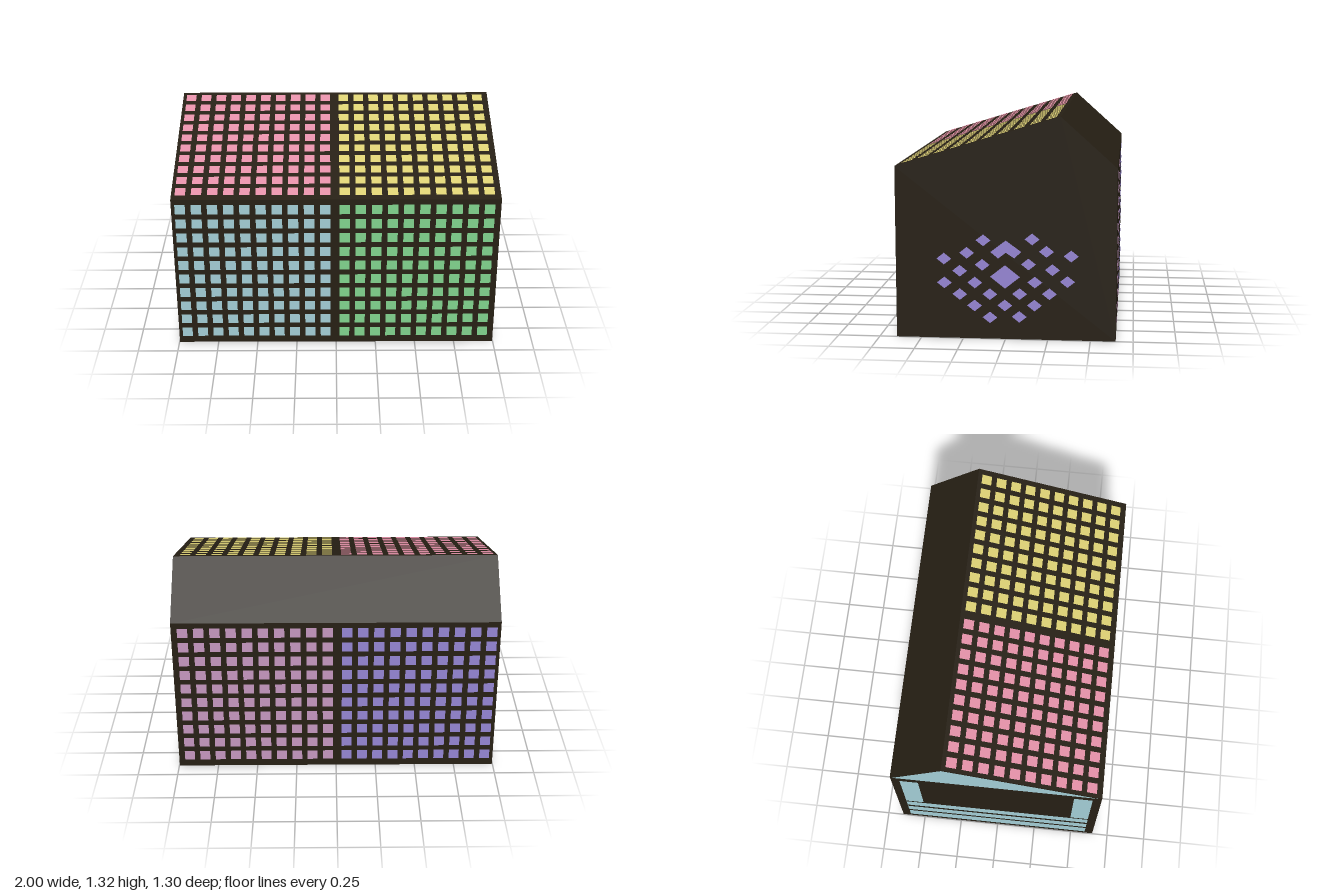
import * as THREE from 'three';
import { mergeGeometries } from 'three/addons/utils/BufferGeometryUtils.js';

const W = 1, D = 0.648, EAVE = 1.02, RIDGE = 1.315, RIDGE_Z = -0.32, LIFT = 0.003;
const mat = (color) => new THREE.MeshStandardMaterial({ color });
const DARK = mat(0x261f14), BLUE = mat(0xa2ccd4), GREEN = mat(0x80d28c), PINK = mat(0xe490a8),
  YELLOW = mat(0xdcd074), MAUVE = mat(0xc496be), PURPLE = mat(0x9484d2);

const mesh = (name, geometry, material) => {
  const m = new THREE.Mesh(geometry, material);
  m.name = name;
  return m;
};

const polygon = (points) => new THREE.Shape(points.map(([x, y]) => new THREE.Vector2(x, y)));
const rect = (x0, x1, y0, y1) => polygon([[x0, y0], [x1, y0], [x1, y1], [x0, y1]]);
const diamond = (x, y, w, h) => polygon([[x - w, y], [x, y - h], [x + w, y], [x, y + h]]);

// Ten by ten square panes, centred on (cx, cy)
function paneGrid(name, cx, cy, material, pitchX = 0.0974, pitchY = 0.0972) {
  const panes = [];
  for (let i = 0; i < 10; i++) {
    for (let j = 0; j < 10; j++) {
      panes.push(new THREE.PlaneGeometry(0.063, 0.064)
        .translate(cx + (i - 4.5) * pitchX, cy + (j - 4.5) * pitchY, 0));
    }
  }
  return mesh(name, mergeGeometries(panes), material);
}

export function createModel() {
  const model = new THREE.Group();
  model.name = 'house';

  // Solid body with an off-centre ridge
  const profile = polygon([[-D, 0], [D, 0], [D, EAVE], [RIDGE_Z, RIDGE], [-D, EAVE]]);
  const length = 2 * (W - LIFT);
  const body = new THREE.ExtrudeGeometry(profile, { depth: length, bevelEnabled: false });
  body.translate(0, 0, -length / 2).rotateY(-Math.PI / 2);
  model.add(mesh('body', body, DARK));

  // Front wall windows
  const front = new THREE.Group();
  front.name = 'frontWindows';
  front.position.z = D + LIFT;
  front.add(paneGrid('frontRightPanes', -0.505, 0.517, BLUE), paneGrid('frontLeftPanes', 0.49, 0.517, GREEN));
  model.add(front);

  // Back wall windows
  const back = new THREE.Group();
  back.name = 'backWindows';
  back.position.z = -D - LIFT;
  back.rotation.y = Math.PI;
  back.add(paneGrid('backLeftPanes', -0.49, 0.517, MAUVE), paneGrid('backRightPanes', 0.505, 0.517, PURPLE));
  model.add(back);

  // Skylights on the long front slope
  const roof = new THREE.Group();
  roof.name = 'roofWindows';
  const tilt = Math.atan2(D - RIDGE_Z, RIDGE - EAVE);
  roof.rotation.x = -tilt;
  roof.position.set(0, (EAVE + RIDGE) / 2 + LIFT * Math.sin(tilt), (D + RIDGE_Z) / 2 + LIFT * Math.cos(tilt));
  roof.add(paneGrid('roofRightPanes', -0.505, 0.006, PINK, 0.0974, 0.0982),
    paneGrid('roofLeftPanes', 0.49, 0.006, YELLOW, 0.0974, 0.0982));
  model.add(roof);

  // Diamond pattern on the +x end: small diamonds, a large one and a chevron
  const centres = [
    [-0.13, 0.59], [0.157, 0.6], [-0.227, 0.514], [0.241, 0.528], [-0.362, 0.477], [0.385, 0.503],
    [-0.136, 0.444], [0.136, 0.451], [-0.269, 0.406], [0.276, 0.42], [-0.36, 0.334], [-0.18, 0.337],
    [0.173, 0.344], [0.364, 0.351], [-0.269, 0.266], [-0.091, 0.269], [0.084, 0.273], [0.259, 0.276],
    [-0.182, 0.199], [-0.003, 0.203], [0.171, 0.206], [-0.091, 0.129], [0.082, 0.136],
  ];
  const shapes = centres.map(([x, y]) => diamond(x, y, 0.044, 0.035));
  shapes.push(diamond(-0.002, 0.374, 0.088, 0.07));
  shapes.push(polygon([[0.003, 0.591], [-0.088, 0.521], [-0.042, 0.483], [0.003, 0.518], [0.052, 0.486], [0.094, 0.524]]));
  const diamonds = mesh('diamondPattern', new THREE.ShapeGeometry(shapes), PURPLE);
  diamonds.rotation.y = Math.PI / 2;
  diamonds.position.x = W;
  model.add(diamonds);

  // Gable, posts and low boards on the -x end
  const end = new THREE.Group();
  end.name = 'entranceEnd';
  end.rotation.y = -Math.PI / 2;
  end.position.x = -W;
  const gable = polygon([[-0.635, 1.015], [0.635, 1.015], [RIDGE_Z, 1.303]]);
  end.add(mesh('gablePanel', new THREE.ShapeGeometry(gable), BLUE));
  for (const side of [-1, 1]) {
    const post = rect(side * 0.537 - 0.057, side * 0.537 + 0.057, 0.435, 0.955);
    end.add(mesh(side < 0 ? 'backPost' : 'frontPost', new THREE.ShapeGeometry(post), BLUE));
  }
  for (const [y0, y1] of [[0.32, 0.415], [0.19, 0.285], [0.05, 0.16]]) {
    end.add(mesh('board', new THREE.ShapeGeometry(rect(-0.594, 0.594, y0, y1)), BLUE));
  }
  model.add(end);

  return model;
}
